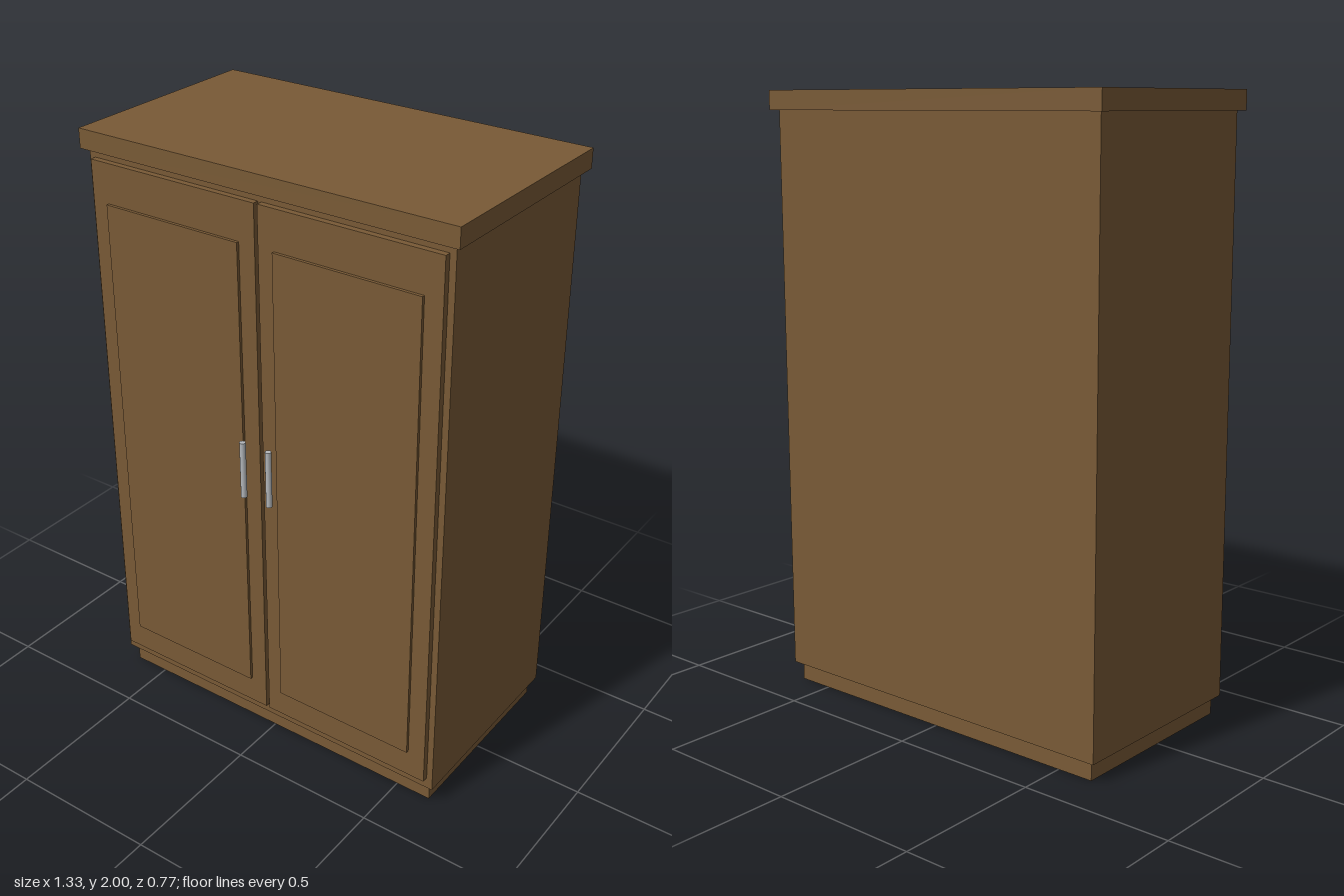
import * as THREE from 'three';

export function createModel() {
  const wood = new THREE.MeshStandardMaterial({ name: 'brown wood', color: 0x795a36 });
  const metal = new THREE.MeshStandardMaterial({ name: 'grey metal', color: 0xb4b8bc });
  const model = new THREE.Group();
  model.name = 'wardrobe';

  // Box given by its limits along each axis
  const addBox = (name, parent, [x0, x1], [y0, y1], [z0, z1]) => {
    const mesh = new THREE.Mesh(new THREE.BoxGeometry(x1 - x0, y1 - y0, z1 - z0), wood);
    mesh.position.set((x0 + x1) / 2, (y0 + y1) / 2, (z0 + z1) / 2);
    mesh.name = name;
    parent.add(mesh);
  };

  // Carcass: recessed plinth, body and overhanging top
  addBox('plinth', model, [-0.622, 0.622], [0, 0.063], [-0.343, 0.307]);
  addBox('body', model, [-0.643, 0.643], [0.063, 1.937], [-0.363, 0.326]);
  addBox('top', model, [-0.663, 0.663], [1.937, 2], [-0.387, 0.346]);

  // Pair of doors, each with a raised panel and a bar handle
  for (const side of [1, -1]) {
    const door = new THREE.Group();
    door.name = side > 0 ? 'leftDoor' : 'rightDoor';
    const span = (a, b) => (side > 0 ? [a, b] : [-b, -a]);
    addBox('doorLeaf', door, span(0.006, 0.622), [0.103, 1.912], [0.326, 0.346]);
    addBox('doorPanel', door, span(0.063, 0.562), [0.2, 1.783], [0.346, 0.356]);

    const handle = new THREE.Mesh(new THREE.CylinderGeometry(0.01, 0.01, 0.195, 12), metal);
    handle.name = 'handle';
    handle.position.set(side * 0.049, 1.042, 0.376);
    door.add(handle);
    model.add(door);
  }
  return model;
}
